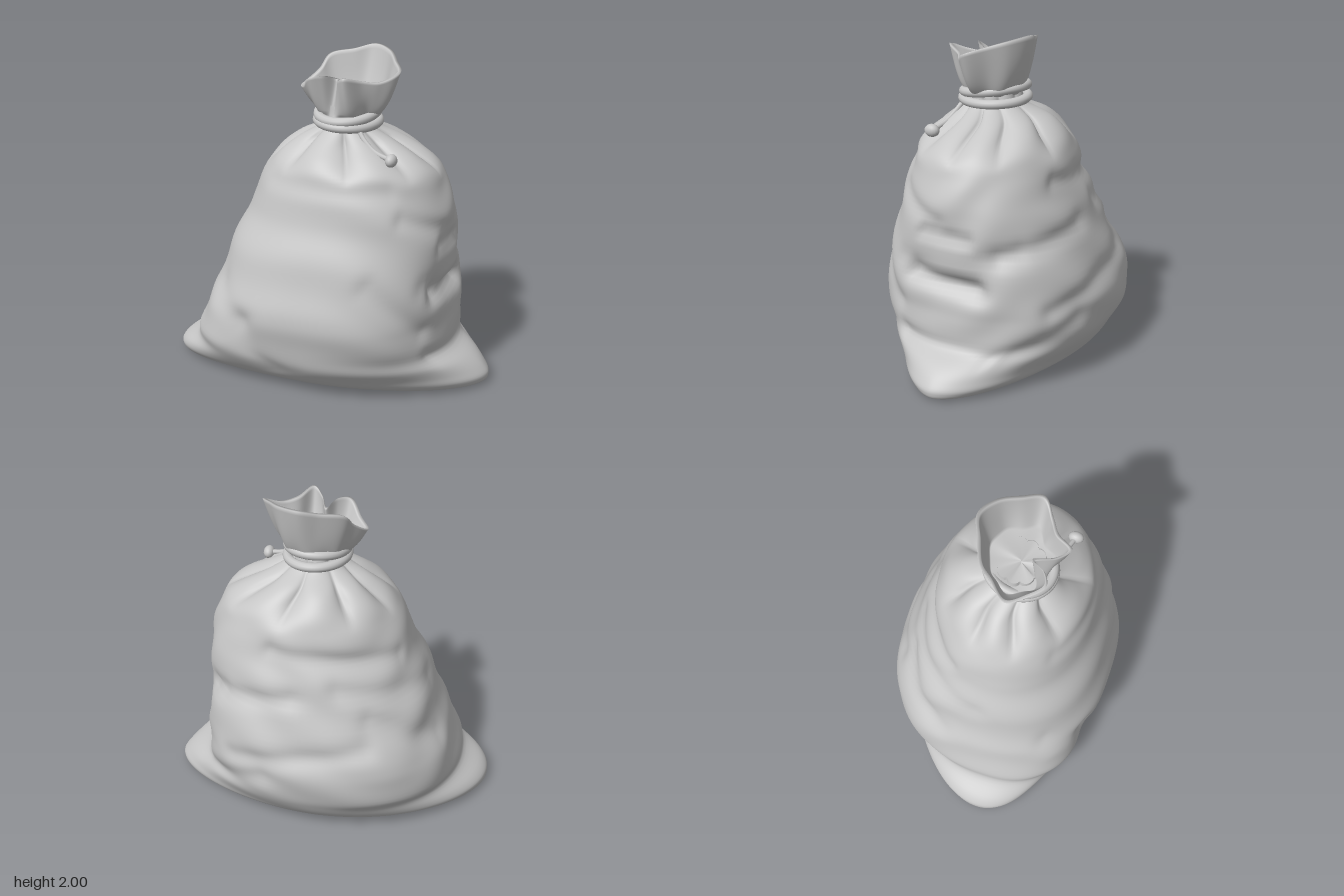
import * as THREE from 'three';

const cloth = new THREE.MeshStandardMaterial({ color: 0xc6c6c6, side: THREE.DoubleSide });
cloth.name = 'grey cloth';
const CX = 0.1, CZ = 0.05; // neck centre
const { smoothstep, clamp, lerp } = THREE.MathUtils;

// Joins rings of points into one smooth closed-loop skin
function skin(rings) {
  const n = rings[0].length, pos = [], index = [];
  rings.forEach(r => r.forEach(p => pos.push(p.x, p.y, p.z)));
  for (let i = 0; i < rings.length - 1; i++) {
    for (let j = 0; j < n; j++) {
      const a = i * n + j, b = i * n + (j + 1) % n;
      index.push(a, a + n, b, b, a + n, b + n);
    }
  }
  const g = new THREE.BufferGeometry();
  g.setAttribute('position', new THREE.Float32BufferAttribute(pos, 3));
  g.setIndex(index);
  g.computeVertexNormals();
  return g;
}

function addMesh(group, name, geometry) {
  const m = new THREE.Mesh(geometry, cloth);
  m.name = name;
  group.add(m);
  return m;
}

// Sack sections: height, -x end, +x end, back z, front z
const SECTIONS = [
  [0, 0, 0, 0, 0],
  [0, -0.6, 0.6, -0.28, 0.28],
  [0.005, -0.95, 0.94, -0.42, 0.4],
  [0.05, -1.0, 1.0, -0.52, 0.5],
  [0.11, -0.96, 0.97, -0.58, 0.57],
  [0.19, -0.84, 0.89, -0.63, 0.63],
  [0.28, -0.82, 0.79, -0.67, 0.66],
  [0.42, -0.77, 0.77, -0.69, 0.69],
  [0.52, -0.73, 0.77, -0.68, 0.69],
  [0.64, -0.67, 0.76, -0.65, 0.67],
  [0.83, -0.62, 0.76, -0.58, 0.62],
  [1.0, -0.53, 0.75, -0.53, 0.56],
  [1.12, -0.49, 0.74, -0.48, 0.53],
  [1.24, -0.44, 0.7, -0.46, 0.5],
  [1.34, -0.38, 0.65, -0.42, 0.47],
  [1.42, -0.3, 0.54, -0.36, 0.4],
  [1.5, -0.19, 0.39, -0.27, 0.3],
  [1.57, -0.07, 0.27, -0.14, 0.23],
  [1.63, -0.05, 0.25, -0.11, 0.2],
  [1.7, -0.04, 0.24, -0.1, 0.19],
];

// Cloth folds: angle and height of both ends, depth, width (angle 0 = +x, PI/2 = front)
const FOLDS = [
  [1.75, 0.15, 2.0, 0.45, -0.02, 0.07], [2.0, 0.45, 2.5, 0.6, -0.02, 0.07],
  [2.2, 0.25, 2.4, 0.42, 0.02, 0.14], [0.5, 0.45, 1.1, 0.75, -0.02, 0.06],
  [-0.2, 0.62, 0.3, 0.66, -0.07, 0.06], [-0.2, 0.91, 0.25, 0.93, -0.03, 0.04],
  [-0.7, 0.85, 0.5, 0.72, -0.015, 0.06], [0.1, 1.0, 0.8, 1.12, -0.02, 0.05],
  [0.9, 1.28, 2.3, 1.28, -0.012, 0.06], [-0.4, 0.22, 0.45, 0.26, -0.03, 0.05],
  [3.4, 0.55, 4.2, 0.8, -0.025, 0.06], [3.2, 0.85, 4.4, 0.98, -0.025, 0.06],
  [3.6, 1.1, 5.0, 1.2, -0.02, 0.05], [4.3, 0.65, 5.4, 0.48, -0.025, 0.06],
  [4.8, 0.92, 5.8, 0.82, -0.025, 0.05], [5.1, 0.4, 5.7, 0.25, -0.025, 0.07],
];

function foldDepth(t, y) {
  let d = 0;
  for (const [a0, y0, a1, y1, depth, width] of FOLDS) {
    // Angles count as arc length on a 0.6 radius
    const mid = (a0 + a1) / 2;
    const a = mid + Math.atan2(Math.sin(t - mid), Math.cos(t - mid));
    const ex = (a1 - a0) * 0.6, ey = y1 - y0, px = (a - a0) * 0.6, py = y - y0;
    const k = clamp((px * ex + py * ey) / (ex * ex + ey * ey), 0, 1);
    const r2 = (px - k * ex) ** 2 + (py - k * ey) ** 2;
    d += depth * Math.exp(-r2 / (width * width));
  }
  return d;
}

const cubic = (u, a, b, c, d) => b + 0.5 * u * (c - a +
  u * (2 * a - 5 * b + 4 * c - d + u * (3 * (b - c) + d - a)));
const signedPow = (v, e) => Math.sign(v) * Math.pow(Math.abs(v), e);

function sackGeometry() {
  const last = SECTIONS.length - 1, rings = [];
  for (let i = 0; i <= last * 5; i++) {
    const k = Math.min(Math.floor(i / 5), last - 1), u = i / 5 - k;
    const at = o => SECTIONS[clamp(k + o, 0, last)];
    const [y, xl, xr, zb, zf] =
      SECTIONS[0].map((_, c) => cubic(u, at(-1)[c], at(0)[c], at(1)[c], at(2)[c]));
    // Pointed corners at the base, squarer belly, round shoulder
    const round = 0.5 * smoothstep(y, 0.45, 1.35);
    const squareL = 2.1 + 0.4 * smoothstep(y, 0.1, 0.28) - round;
    const squareR = 1.75 + 0.75 * smoothstep(y, 0.1, 0.36) - round;
    // Gathers under the tie, soft wrinkles on the belly, corner shift at the base
    const pleat = smoothstep(y, 1.3, 1.45) * (1 - 0.75 * smoothstep(y, 1.48, 1.58));
    const belly = smoothstep(y, 0.15, 0.4) * (1 - smoothstep(y, 1.2, 1.4));
    const low = (1 - smoothstep(y, 0.1, 0.5)) * Math.min(1, i / 10);
    const ring = [];
    for (let j = 0; j < 144; j++) {
      const t = j / 144 * Math.PI * 2, c = Math.cos(t), s = Math.sin(t);
      const e = 2 / (c < 0 ? squareL : squareR);
      const wave = Math.pow(Math.abs(Math.sin(t * 4.5 + 0.5 * Math.sin(2 * t))), 0.6) - 0.75;
      const soft = 0.006 * Math.sin(y * 17 + 3 * Math.sin(t * 2) + 2 * Math.sin(t * 3 + 1));
      const d = foldDepth(t, y) * smoothstep(y, 0.02, 0.2) + belly * soft + pleat * wave * 0.09;
      ring.push(new THREE.Vector3(
        (xl + xr) / 2 + (xr - xl) / 2 * signedPow(c, e) + d * c,
        Math.max(0, y),
        (zb + zf) / 2 + (zf - zb) / 2 * signedPow(s, e) + d * s + (c < 0 ? 0.13 * low * c * c : 0)));
    }
    rings.push(ring);
  }
  return skin(rings);
}

// Wavy open mouth: outer wall, rolled rim, inner wall
function mouthGeometry() {
  const rim = new THREE.CatmullRomCurve3([
    [0.43, 1.91, 0.08], [0.34, 1.86, 0.16], [0.25, 1.87, 0.22], [0.17, 1.9, 0.32],
    [0.11, 1.87, 0.26], [0.06, 1.85, 0.14], [0.0, 1.88, 0.22], [-0.07, 1.87, 0.25],
    [-0.14, 1.8, 0.16], [-0.2, 1.78, 0.05], [-0.13, 1.86, -0.06], [-0.09, 1.94, -0.13],
    [0.05, 1.97, -0.19], [0.17, 2.0, -0.23], [0.29, 1.985, -0.16], [0.37, 1.95, -0.04],
  ].map(p => new THREE.Vector3(...p)), true);
  const N = 128, rings = [];
  const ring = (v, inset) => {
    const out = [], f = Math.pow(v, 0.5);
    for (let j = 0; j < N; j++) {
      const p = rim.getPoint(j / N), t = j / N * Math.PI * 2;
      // Folds deepen between the tie and the rim
      const r = 0.15 + 0.012 * Math.sin(t * 8) + 0.05 * v * (1 - v) * Math.sin(t * 7 + 1);
      const x = lerp(CX + r * Math.cos(t), p.x, f);
      const z = lerp(CZ + r * Math.sin(t), p.z, f);
      const k = 1 - inset / Math.max(Math.hypot(x - CX, z - CZ), 0.05);
      out.push(new THREE.Vector3(CX + (x - CX) * k, lerp(1.63, p.y, v), CZ + (z - CZ) * k));
    }
    return out;
  };
  for (let i = 0; i <= 14; i++) rings.push(ring(i / 14, 0));
  for (let i = 14; i >= 3; i--) rings.push(ring(i / 14, 0.018));
  rings.push(rings[rings.length - 1].map(p => new THREE.Vector3(CX, p.y, CZ)));
  return skin(rings);
}

export function createModel() {
  const model = new THREE.Group();
  model.name = 'tiedSack';
  addMesh(model, 'sackBody', sackGeometry());
  addMesh(model, 'sackMouth', mouthGeometry());

  // Two turns of cord around the neck
  [[1.595, 0.182, 0.03, -0.04], [1.65, 0.178, 0.15, 0.03]].forEach(([y, r, tiltX, tiltZ], i) => {
    const g = new THREE.TorusGeometry(r, 0.028, 12, 64);
    g.rotateX(Math.PI / 2);
    g.scale(1, 1, 1.08);
    const cord = addMesh(model, 'cordTurn' + (i + 1), g);
    cord.position.set(CX, y, CZ);
    cord.rotation.set(tiltX, 0, tiltZ);
  });

  // Loose cord end with its knot
  const path = new THREE.CatmullRomCurve3([
    [0.21, 1.59, 0.19], [0.26, 1.53, 0.22], [0.34, 1.47, 0.25], [0.45, 1.44, 0.28],
  ].map(p => new THREE.Vector3(...p)));
  addMesh(model, 'cordEnd', new THREE.TubeGeometry(path, 16, 0.015, 8));
  const knot = addMesh(model, 'cordKnot', new THREE.SphereGeometry(0.043, 16, 12));
  knot.position.set(0.45, 1.44, 0.28);
  knot.scale.set(0.8, 0.9, 1.1);
  return model;
}
